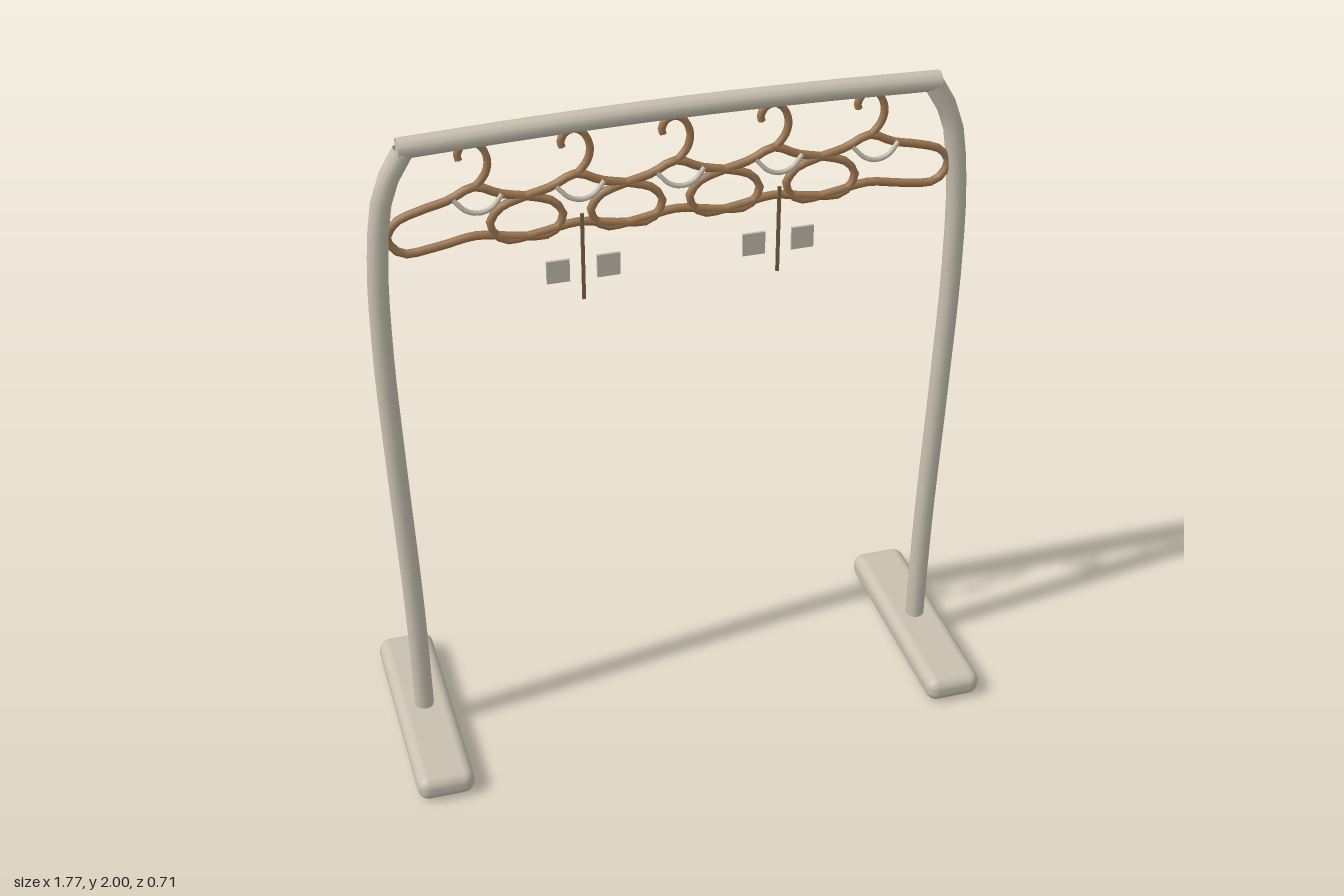
import * as THREE from 'three';
import { RoundedBoxGeometry } from 'three/addons/geometries/RoundedBoxGeometry.js';

const mat = (name, color) => {
  const m = new THREE.MeshStandardMaterial({ color, side: THREE.DoubleSide });
  m.name = name;
  return m;
};

export function createModel() {
  const root = new THREE.Group();
  root.name = 'clothesRack';
  const frame = mat('warmGreyFrame', 0xc8c0b0);
  const wood = mat('hangerWood', 0xa07850);
  const trim = mat('paleTrim', 0xc4bcae);
  const placket = mat('placketBrown', 0x806848);

  const add = (parent, name, geometry, material, x = 0, y = 0, z = 0) => {
    const mesh = new THREE.Mesh(geometry, material);
    mesh.name = name;
    mesh.position.set(x, y, z);
    parent.add(mesh);
    return mesh;
  };
  const tube = (points, radius, segments, sides, closed = false) => {
    const curve = new THREE.CatmullRomCurve3(
      points.map(([x, y, z = 0]) => new THREE.Vector3(x, y, z)), closed);
    return new THREE.TubeGeometry(curve, segments, radius, sides, closed);
  };

  // Feet and bent uprights
  for (const s of [-1, 1]) {
    const side = s > 0 ? 'left' : 'right';
    add(root, side + 'Foot', new RoundedBoxGeometry(0.17, 0.08, 0.71, 4, 0.034), frame, s * 0.8, 0.04, 0);
    const path = [[0.8, 0.05], [0.806, 0.45], [0.824, 0.95], [0.835, 1.35],
      [0.828, 1.64], [0.797, 1.84], [0.74, 1.945]];
    add(root, side + 'Upright', tube(path.map(([x, y]) => [s * x, y]), 0.029, 24, 12), frame);
  }

  // Slightly arched rail with end caps
  add(root, 'rail', tube([[-0.755, 1.954], [-0.38, 1.966], [0, 1.971], [0.38, 1.966], [0.755, 1.954]],
    0.029, 16, 12), frame);
  for (const s of [-1, 1]) {
    add(root, 'railCap', new THREE.CircleGeometry(0.029, 12), frame, s * 0.755, 1.954, 0).rotation.y = s * Math.PI / 2;
  }

  // Hanger body: one half listed, the other mirrored
  const half = [[0.07, 1.785], [0.15, 1.765], [0.215, 1.74], [0.241, 1.695],
    [0.205, 1.645], [0.11, 1.65]];
  const body = [[0, 1.815], ...half, [0, 1.668], ...half.map(([x, y]) => [-x, y]).reverse()];
  const bodyGeo = tube(body, 0.012, 40, 6, true);
  const hookGeo = tube([[0, 1.81], [0.032, 1.85], [0.04, 1.89], [0.025, 1.93], [0, 1.948],
    [-0.027, 1.94], [-0.04, 1.915], [-0.037, 1.9]], 0.011, 18, 6);
  const neckGeo = tube([[-0.065, 1.808, 0.05], [-0.035, 1.778, 0.059], [0, 1.768, 0.061],
    [0.035, 1.778, 0.059], [0.065, 1.808, 0.05]], 0.007, 12, 6);

  for (let i = -2; i <= 2; i++) {
    const hanger = new THREE.Group();
    hanger.name = 'hanger' + (i + 3);
    hanger.position.x = i * 0.279;
    root.add(hanger);
    add(hanger, 'hangerBody', bodyGeo, wood);
    add(hanger, 'hangerHook', hookGeo, wood);
    add(hanger, 'neckline', neckGeo, trim);
    // Every second hanger carries a placket strip and two pocket plates
    if (Math.abs(i) === 1) {
      add(hanger, 'placket', new THREE.BoxGeometry(0.01, 0.265, 0.005), placket, 0, 1.59, 0.056);
      for (const s of [-1, 1]) {
        add(hanger, 'pocket', new THREE.BoxGeometry(0.065, 0.068, 0.008), trim, s * 0.071, 1.555, 0.056);
      }
    }
  }
  return root;
}
